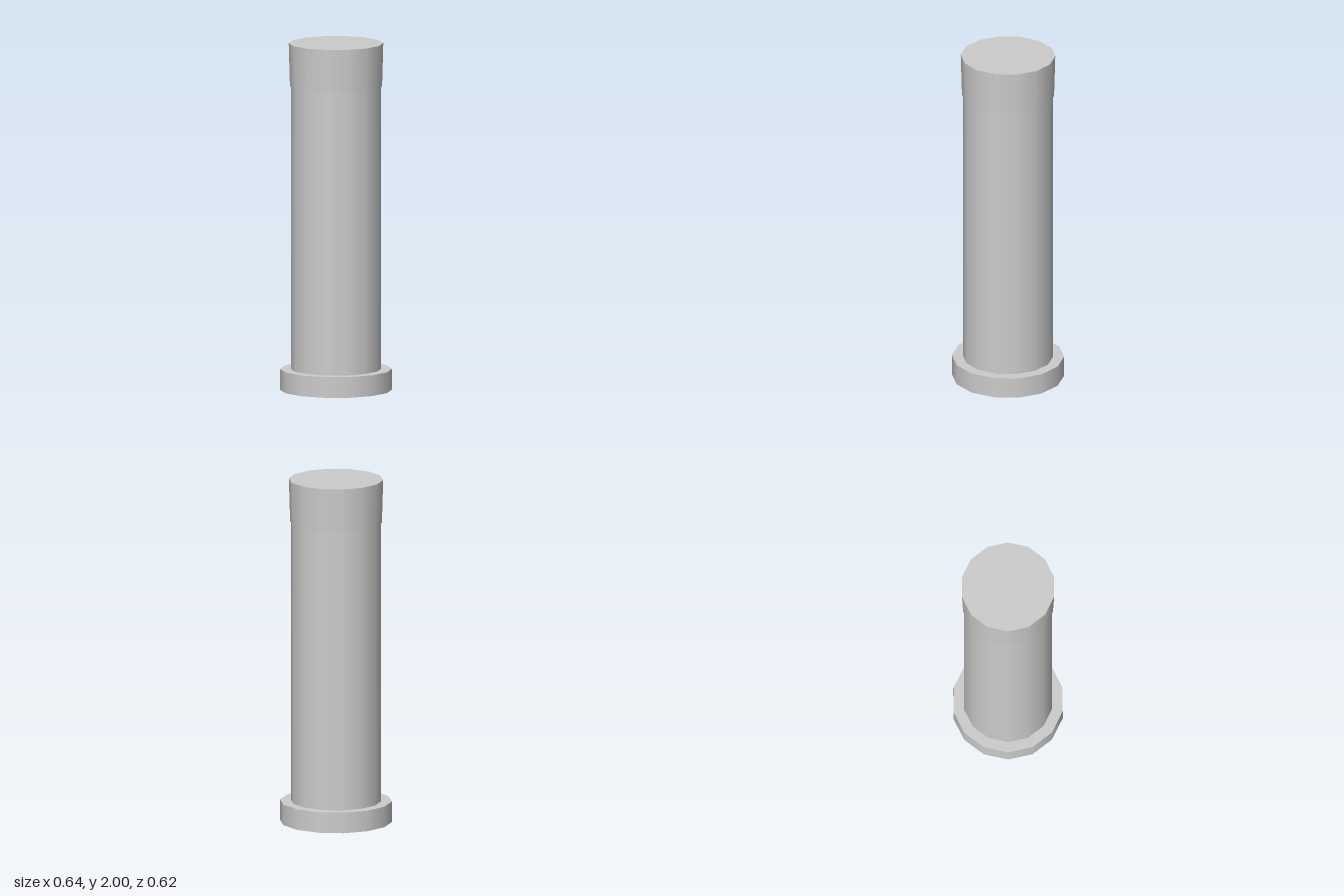
import * as THREE from 'three';

const SIDES = 14;

export function createModel() {
  const group = new THREE.Group();
  const stone = new THREE.MeshStandardMaterial({ color: 0xcccccc, side: THREE.DoubleSide });
  stone.name = 'light grey';

  // Smooth fourteen-sided drum with a corner on the x axis
  function drum(name, rBottom, rTop, y0, y1, open = true) {
    const geo = new THREE.CylinderGeometry(rTop, rBottom, y1 - y0, SIDES, 1, open, Math.PI / 2);
    const mesh = new THREE.Mesh(geo, stone);
    mesh.name = name;
    mesh.position.y = (y0 + y1) / 2;
    group.add(mesh);
  }

  // Flat disc facing up
  function disc(name, r, y) {
    const mesh = new THREE.Mesh(new THREE.CircleGeometry(r, SIDES), stone);
    mesh.name = name;
    mesh.rotation.x = -Math.PI / 2;
    mesh.position.y = y;
    group.add(mesh);
  }

  // Base: a ring open underneath, closed by a disc on top
  drum('baseRing', 0.32, 0.32, 0, 0.12);
  disc('baseTop', 0.32, 0.12);

  // Shaft, and a collar that flares slightly towards the top
  drum('shaft', 0.258, 0.258, 0.12, 1.84);
  drum('collar', 0.263, 0.27, 1.75, 2, false);

  return group;
}
